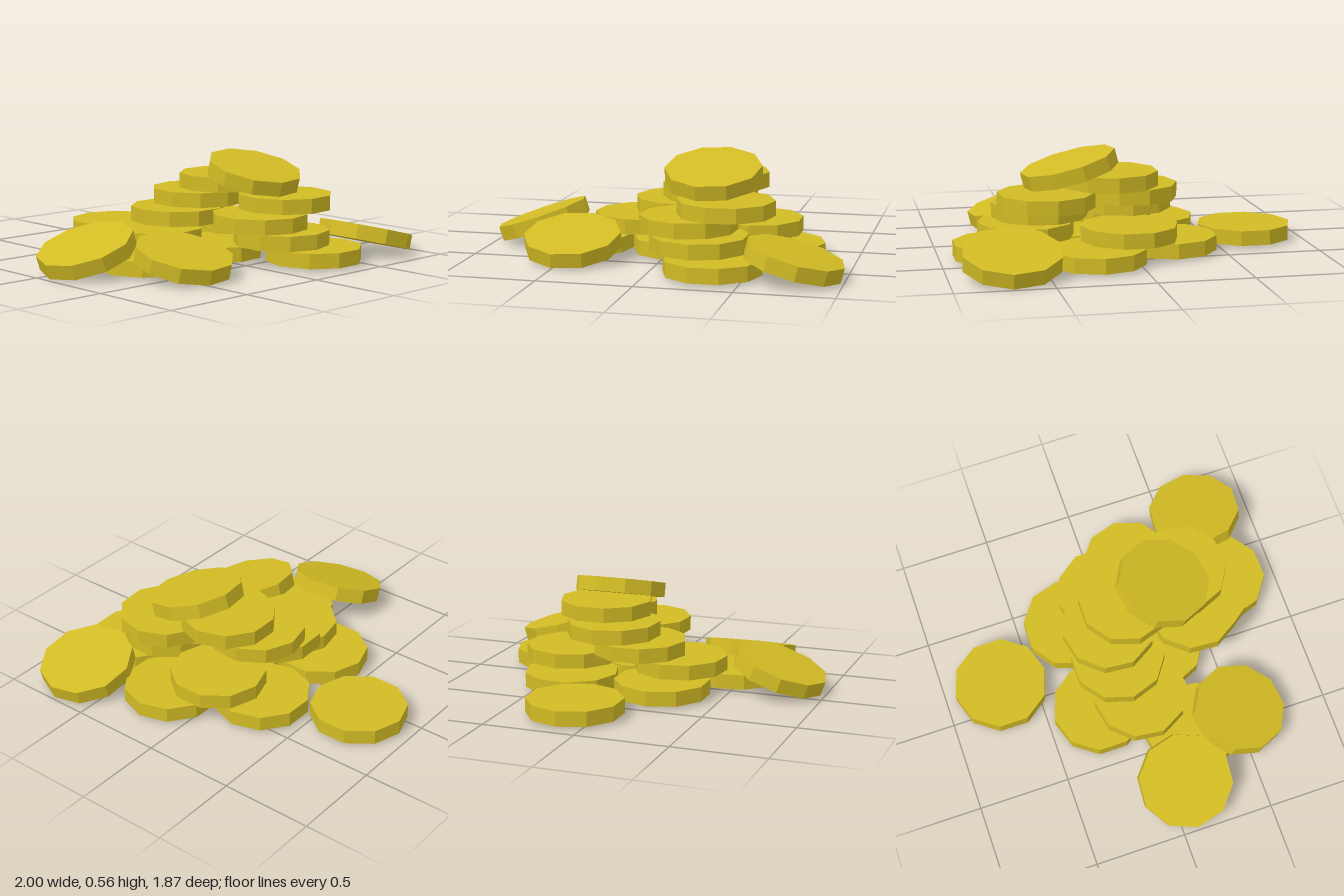
import * as THREE from 'three';

export function createModel() {
  const group = new THREE.Group();
  group.name = 'coinPile';
  const gold = new THREE.MeshStandardMaterial({ color: 0xd2bb24, flatShading: true });
  gold.name = 'gold';
  const disc = new THREE.CylinderGeometry(0.257, 0.257, 0.08, 10);
  const rad = THREE.MathUtils.degToRad;

  // One ten-sided coin: centre, spin about its axis, then tilt, in degrees
  function coin(name, x, y, z, spin, tiltX = 0, tiltZ = 0) {
    const mesh = new THREE.Mesh(disc, gold);
    mesh.name = name;
    mesh.position.set(x, y, z);
    mesh.rotation.set(rad(tiltX), rad(-spin), rad(tiltZ), 'XZY');
    group.add(mesh);
  }

  // Flat coins, layer by layer: [x, z, spin]
  const layers = [
    { y: 0.06, coins: [[0.125, -0.685, 0], [-0.18, -0.21, 0], [0.34, -0.21, 19], [0.58, 0.22, 19],
      [0.33, 0.68, 17], [-0.46, 0.23, 10], [0.06, 0.21, 12]] },
    { y: 0.143, coins: [[-0.205, 0.02, 7], [0.43, 0.02, 0], [0.23, 0.535, 0]] },
    { y: 0.228, coins: [[0.01, -0.035, 17], [0.155, 0.45, 4]] },
    { y: 0.313, coins: [[0.165, -0.035, 5], [0.35, 0.445, 13]] },
    { y: 0.4, coins: [[0.255, 0.09, 18]] },
  ];
  layers.forEach(({ y, coins }, i) =>
    coins.forEach(([x, z, spin], j) => coin(`layer${i + 1}Coin${j + 1}`, x, y, z, spin)));

  // Coins leaning on the pile
  coin('topLeaningCoin', 0.255, 0.459, 0.305, 10, 15);
  coin('frontLeaningCoin', -0.455, 0.111, 0.505, 10, 14);
  coin('rightLeaningCoin', -0.745, 0.13, 0.09, 21, 0, 19);
  coin('leftLeaningCoin', 0.745, 0.11, 0.68, 24, 0, -14.5);
  return group;
}
